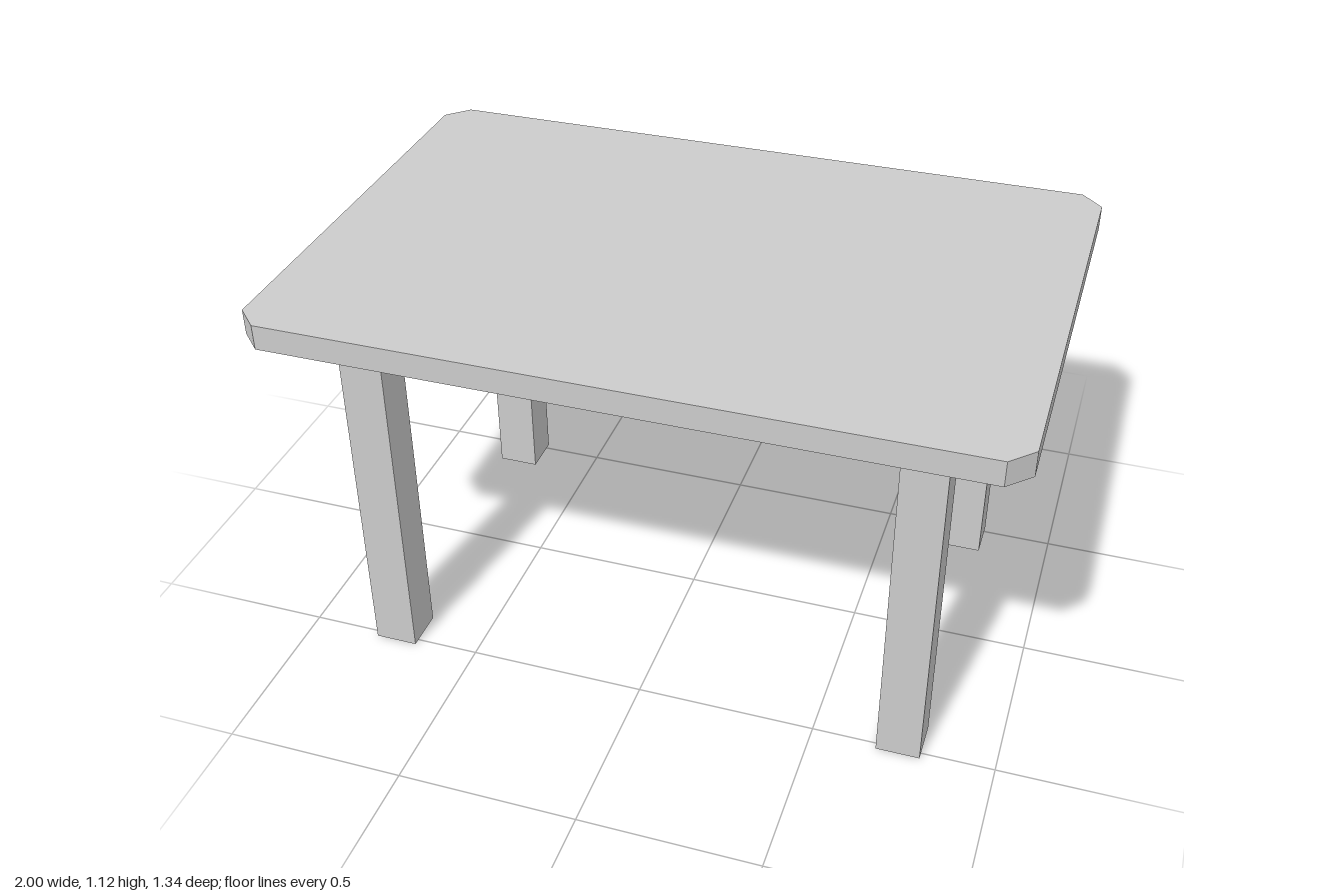
import * as THREE from 'three';

const material = new THREE.MeshStandardMaterial({ color: 0xcccccc, flatShading: true });

// Corners of a rectangle with cut corners, half sizes w and d, cut c
function cutRectangle(w, d, c) {
  return [
    [w, -d + c], [w, d - c], [w - c, d], [-w + c, d],
    [-w, d - c], [-w, -d + c], [-w + c, -d], [w - c, -d],
  ].map(([x, y]) => new THREE.Vector2(x, y));
}

// Horizontal slab with its underside at the given height
function slab(name, shape, bottom, thickness) {
  const geometry = new THREE.ExtrudeGeometry(shape, { depth: thickness, bevelEnabled: false });
  geometry.rotateX(-Math.PI / 2);
  const mesh = new THREE.Mesh(geometry, material);
  mesh.name = name;
  mesh.position.y = bottom;
  return mesh;
}

export function createModel() {
  const table = new THREE.Group();
  table.name = 'table';

  // Table top
  table.add(slab('tableTop', new THREE.Shape(cutRectangle(1, 0.67, 0.06)), 1.05, 0.07));

  // Open frame under the top
  const frame = new THREE.Shape(cutRectangle(0.91, 0.58, 0.06));
  frame.holes.push(new THREE.Path(cutRectangle(0.85, 0.52, 0.025)));
  table.add(slab('apronFrame', frame, 1, 0.05));

  // Four square legs, reaching up inside the frame
  const legGeometry = new THREE.BoxGeometry(0.12, 1.05, 0.12);
  for (const [side, x] of [['Left', 0.74], ['Right', -0.74]]) {
    for (const [end, z] of [['front', 0.46], ['back', -0.46]]) {
      const leg = new THREE.Mesh(legGeometry, material);
      leg.name = `${end}${side}Leg`;
      leg.position.set(x, 0.525, z);
      table.add(leg);
    }
  }
  return table;
}
